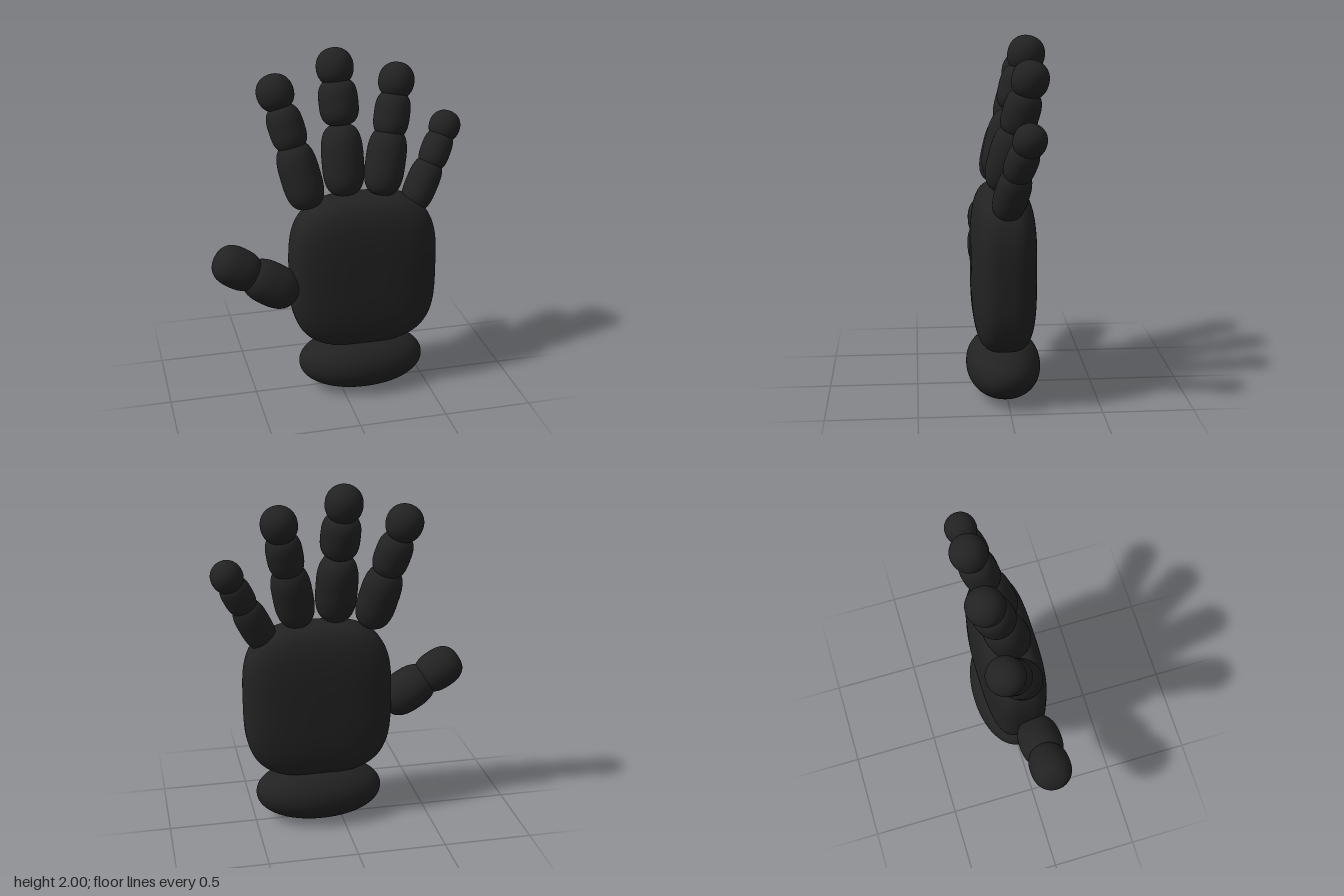
import * as THREE from 'three';
import { mergeVertices } from 'three/addons/utils/BufferGeometryUtils.js';

const charcoal = new THREE.MeshStandardMaterial({ color: 0x222222 });
charcoal.name = 'charcoal';

// Rounded block: a sphere pushed outward towards its box, with one exponent per axis
function roundedBlock(rx, ry, rz, nx, ny, nz) {
  let geo = new THREE.SphereGeometry(1, 96, 64);
  geo.deleteAttribute('uv');
  geo.deleteAttribute('normal');
  const p = geo.attributes.position;
  const push = (v, n) => (Math.abs(v) < 1e-6 ? 0 : Math.sign(v) * Math.abs(v) ** (2 / n));
  for (let i = 0; i < p.count; i++) {
    p.setXYZ(i, rx * push(p.getX(i), nx), ry * push(p.getY(i), ny), rz * push(p.getZ(i), nz));
  }
  geo = mergeVertices(geo, 1e-5);
  geo.computeVertexNormals();
  return geo;
}

// Round pad along y: a turned profile, squarer as n grows
function pad(radius, half, n) {
  const pts = [];
  const steps = 32;
  for (let i = 0; i <= steps; i++) {
    const a = (i / steps - 0.5) * Math.PI;
    const c = i === 0 || i === steps ? 0 : Math.cos(a);
    const s = i === steps / 2 ? 0 : Math.sin(a);
    pts.push(new THREE.Vector2(radius * c ** (2 / n), half * Math.sign(s) * Math.abs(s) ** (2 / n)));
  }
  return new THREE.LatheGeometry(pts, 40);
}

// Each segment: centre x, y, z, radius, half length; listed from palm to tip
const digits = {
  indexFinger: [[-0.22, 1.33, 0, 0.112, 0.19], [-0.28, 1.587, -0.065, 0.1, 0.13], [-0.33, 1.773, -0.115, 0.103, 0.105]],
  middleFinger: [[0.02, 1.4, -0.005, 0.117, 0.2], [0.013, 1.71, -0.075, 0.109, 0.13], [0.003, 1.895, -0.12, 0.103, 0.106]],
  ringFinger: [[0.265, 1.37, -0.005, 0.112, 0.19], [0.315, 1.62, -0.065, 0.1, 0.13], [0.35, 1.797, -0.11, 0.1, 0.104]],
  littleFinger: [[0.48, 1.22, -0.005, 0.092, 0.155], [0.57, 1.4, -0.045, 0.085, 0.112], [0.63, 1.523, -0.083, 0.088, 0.09]],
  thumb: [[-0.41, 0.725, 0.065, 0.124, 0.165], [-0.597, 0.842, 0.062, 0.116, 0.136]],
};

export function createModel() {
  const hand = new THREE.Group();
  hand.name = 'hand';

  const add = (parent, name, geo, x, y, z) => {
    const mesh = new THREE.Mesh(geo, charcoal);
    mesh.name = name;
    mesh.position.set(x, y, z);
    parent.add(mesh);
    return mesh;
  };

  // Palm and wrist cuff
  add(hand, 'palm', roundedBlock(0.422, 0.455, 0.178, 3, 3.4, 3.4), 0.13, 0.745, 0.018);
  add(hand, 'cuff', roundedBlock(0.366, 0.168, 0.208, 2.1, 2.1, 2.1), 0.125, 0.173, 0.016);

  // Fingers and thumb, every segment aimed along its digit
  const up = new THREE.Vector3(0, 1, 0);
  for (const [name, segments] of Object.entries(digits)) {
    const digit = new THREE.Group();
    digit.name = name;
    hand.add(digit);
    const centres = segments.map(([x, y, z]) => new THREE.Vector3(x, y, z));
    segments.forEach(([x, y, z, radius, half], i) => {
      const last = i === segments.length - 1;
      const from = centres[last ? i - 1 : i];
      const to = centres[last ? i : i + 1];
      const n = name === 'thumb' ? 2.6 : last ? 2.15 : 3;
      const mesh = add(digit, last ? 'tip' : `segment${i + 1}`, pad(radius, half, n), x, y, z);
      mesh.quaternion.setFromUnitVectors(up, to.clone().sub(from).normalize());
    });
  }
  return hand;
}
